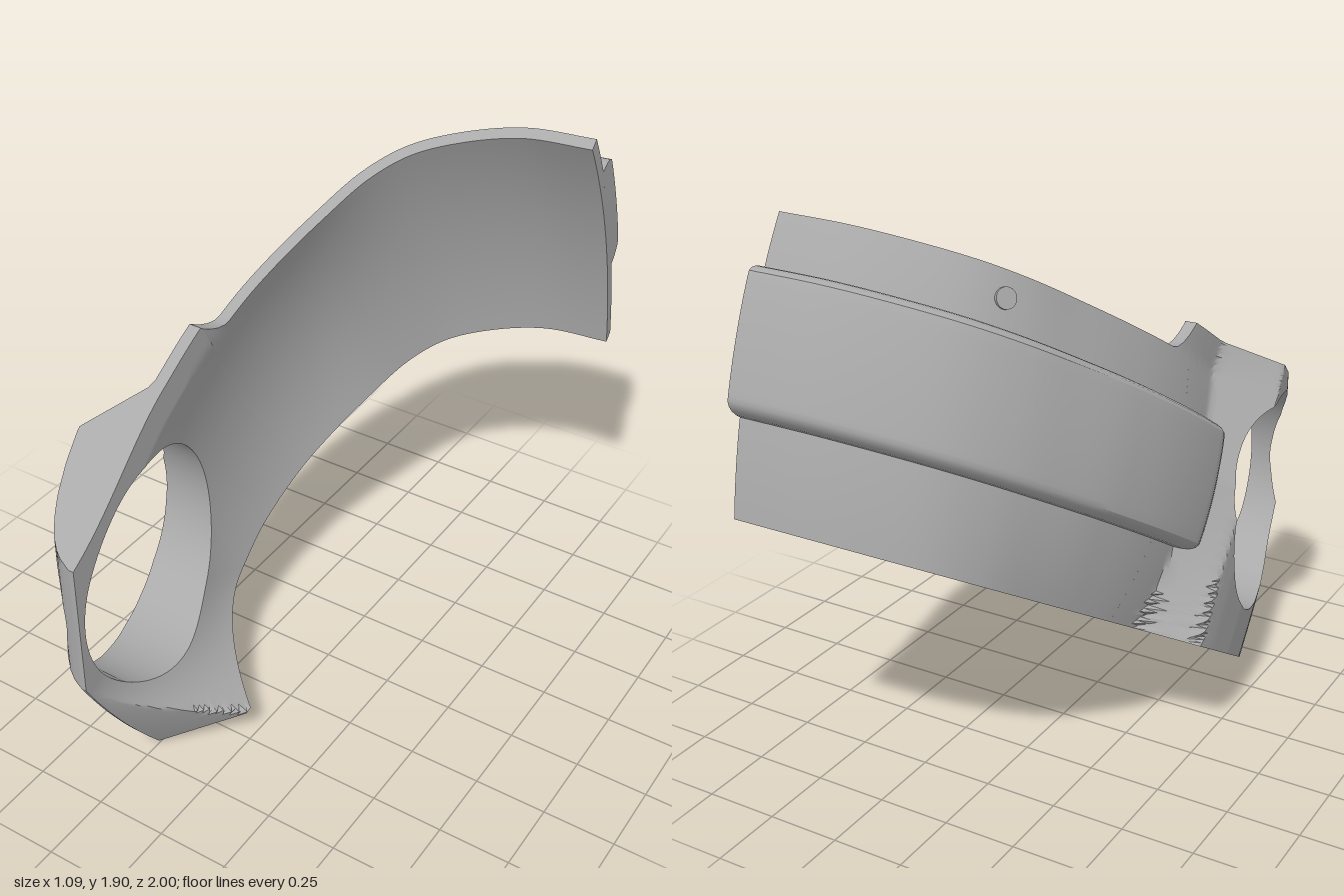
import * as THREE from 'three';
import { toCreasedNormals } from 'three/addons/utils/BufferGeometryUtils.js';

// Tilted working frame: x sideways, u back along the band, v across it.
const SIN = 0.527, COS = 0.85;
const place = (x, u, v) => new THREE.Vector3(x, SIN * u + COS * v, -COS * u + SIN * v);
const smooth = (t) => THREE.MathUtils.smoothstep(t, 0, 1);
const lerp = THREE.MathUtils.lerp;

// Linear lookup in a short list of [position, value] pairs
function ramp(list, t) {
  if (t <= list[0][0]) return list[0][1];
  for (let i = 1; i < list.length; i++) {
    const [a, va] = list[i - 1], [b, vb] = list[i];
    if (t <= b) return lerp(va, vb, (t - a) / (b - a));
  }
  return list[list.length - 1][1];
}

// Plan curve of the outer wall, from straight side to the rear middle
const plan = new THREE.CatmullRomCurve3([
  [-0.35, -1], [-0.35, 0], [-0.35, 0.3], [-0.345, 0.53], [-0.322, 0.715], [-0.28, 0.886],
  [-0.217, 1.076], [-0.14, 1.266], [-0.04, 1.4], [0.11, 1.5], [0.31, 1.577], [0.545, 1.6],
].map(([x, w]) => new THREE.Vector3(x, w, 0)));
const STEPS = 400, table = plan.getPoints(STEPS);
function planAt(w) {
  let i = 1;
  while (i < STEPS && table[i].y < w) i++;
  const f = THREE.MathUtils.clamp((w - table[i - 1].y) / (table[i].y - table[i - 1].y), 0, 1);
  return { x: lerp(table[i - 1].x, table[i].x, f), tan: plan.getTangent((i - 1 + f) / STEPS) };
}

// The lower edge tucks forward; the middle of the side bows outward
const tuck = (v) => -0.247 * Math.max(0, 1.25 - v) ** 2;
function bow(w, v) {
  const t = THREE.MathUtils.clamp((1.25 - v) / 0.895, 0, 1);
  return -0.24 * t * (1 - t) * (1 - smooth((w - 0.9) / 0.6)) * smooth((w + 0.5) / 0.8);
}
function wallPoint(w, v, h) {
  const { x, tan } = planAt(w);
  return place(x + bow(w, v) - tan.y * h, w + tuck(v) + tan.x * h, v);
}

// Solid between two point grids; sections i are joined, optionally into a ring
function slab(outer, inner, ni, nj, ring) {
  const pos = [], idx = [], n = 2 * (nj + 1), rows = ring ? ni : ni + 1;
  for (let i = 0; i < rows; i++) {
    for (let j = 0; j <= nj; j++) pos.push(...outer(i, j).toArray());
    for (let j = nj; j >= 0; j--) pos.push(...inner(i, j).toArray());
  }
  const quad = (a, b, c, d) => idx.push(a, b, c, a, c, d);
  for (let i = 0; i < ni; i++) {
    const r = i * n, q = ((i + 1) % rows) * n;
    for (let j = 0; j < n; j++) {
      const k = (j + 1) % n;
      quad(r + j, q + j, q + k, r + k);
    }
  }
  if (!ring) {
    const e = ni * n;
    for (let j = 0; j < nj; j++) {
      quad(j, j + 1, n - 2 - j, n - 1 - j);
      quad(e + j, e + n - 1 - j, e + n - 2 - j, e + j + 1);
    }
  }
  // Turn all faces outward using the signed volume
  const at = (k) => new THREE.Vector3().fromArray(pos, k * 3);
  let vol = 0;
  for (let k = 0; k < idx.length; k += 3) vol += at(idx[k]).dot(at(idx[k + 1]).cross(at(idx[k + 2])));
  if (vol < 0) idx.reverse();
  const g = new THREE.BufferGeometry();
  g.setAttribute('position', new THREE.Float32BufferAttribute(pos, 3));
  g.setIndex(idx);
  return toCreasedNormals(g, 0.55);
}

const JOIN = 0.53, LOW = 0.355, HIGH = 1.356, END = 1.6;

// Rear band: a thin curved wall with a notch where it leaves the front housing
function bandGeometry() {
  const ni = 80, nj = 24, ease = (i) => 1 - (1 - i / ni) ** 2;
  const point = (h) => (i, j) => {
    const e = ease(i), wTop = lerp(JOIN, END, e);
    const top = 1.246 + 0.11 * Math.max(0, (0.64 - wTop) / 0.11) ** 2;
    const v = lerp(LOW, top, j / nj);
    return wallPoint(lerp(JOIN - tuck(v), END, e), v, h);
  };
  return slab(point(0), point(-0.042), ni, nj, false);
}

// Raised pad along the outside of the band, with rounded edges
function padGeometry() {
  const ni = 80, nj = 24, ease = (i) => 1 - (1 - i / ni) ** 2;
  const round = (t) => Math.sqrt(1 - (1 - Math.min(1, t)) ** 2);
  const point = (raised) => (i, j) => {
    const v = 0.861 - 0.216 * Math.cos(Math.PI * j / nj), e = ease(i);
    const edge = Math.min(v - 0.645, 1.077 - v) / 0.035;
    const h = raised ? 0.075 * round(Math.max(0, edge)) * round(e / 0.05) : -0.012;
    return wallPoint(lerp(0.3 - tuck(v), END, e), v, h);
  };
  return slab(point(true), point(false), ni, nj, false);
}

// Front housing outline and surfaces
const frontEdge = (v) => (v < 0.95
  ? -0.575 - 0.012 * (v - LOW) / 0.595 - 0.06 * (v - LOW) * (0.95 - v) / 0.354
  : lerp(-0.587, -0.33, (v - 0.95) / (HIGH - 0.95)));
const rounding = [[0, -0.275], [0.015, -0.312], [0.035, -0.342], [0.08, -0.385], [0.14, -0.42],
  [0.2, -0.447], [0.3, -0.48], [0.42, -0.507], [0.55, -0.528], [0.75, -0.542]];
function housingOuter(u, v) {
  const w = u - tuck(v), base = planAt(w).x + bow(w, v);
  const crest = ramp([[LOW, 0.28], [0.9, 0.24], [HIGH, 0.09]], v);
  const foot = ramp([[LOW, 0.37], [0.9, 0.38], [HIGH, 0.3]], v);
  const t = THREE.MathUtils.clamp((u - crest) / (foot - crest), 0, 1);
  return lerp(ramp(rounding, Math.min(u, crest) - frontEdge(v)), base, t);
}
function housingInner(u, v) {
  const w = u - tuck(v);
  const wall = planAt(w).x + bow(w, v) * smooth((u + 0.55) / 0.8) + 0.043 + 0.05 * smooth((0.3 - u) / 0.6);
  // Fin reaching inward along the lower edge
  const k = Math.max(0, (0.91 - v) / 0.555) ** 1.7, ridge = -0.575 + 0.225 * k, f = frontEdge(v);
  const shape = u < ridge ? Math.max(0, (u - f) / (ridge - f)) : Math.max(0, 1 - (u - ridge) / 0.43) ** 2;
  return Math.max(wall + 0.26 * k * shape, housingOuter(u, v) + 0.012);
}
function housingGeometry() {
  const cu = -0.121, cv = 0.911, radius = 0.39, nj = 20;
  const corners = [[JOIN, LOW], [JOIN, HIGH], [-0.33, HIGH], [-0.587, 0.95], [-0.575, LOW]];
  const angles = corners.map(([u, v]) => Math.atan2(v - cv, u - cu));
  for (let i = 0; i < 170; i++) angles.push(-Math.PI + (i + 0.37) * 2 * Math.PI / 170);
  angles.sort((a, b) => a - b);
  const inside = (u, v) => u < JOIN && v > LOW && v < HIGH && u > frontEdge(v);
  const reach = angles.map((a) => {
    let lo = radius, hi = 1.5;
    for (let k = 0; k < 30; k++) {
      const m = (lo + hi) / 2;
      if (inside(cu + m * Math.cos(a), cv + m * Math.sin(a))) lo = m; else hi = m;
    }
    return lo;
  });
  const point = (surface) => (i, j) => {
    const r = lerp(radius, reach[i], j / nj);
    const u = cu + r * Math.cos(angles[i]), v = cv + r * Math.sin(angles[i]);
    return place(surface(u, v), u, v);
  };
  return slab(point(housingOuter), point(housingInner), angles.length, nj, true);
}

export function createModel() {
  const group = new THREE.Group();
  group.name = 'halfShell';
  const grey = new THREE.MeshStandardMaterial({ color: 0xaaaaaa });
  grey.name = 'plain grey';
  const add = (name, geometry) => {
    const mesh = new THREE.Mesh(geometry, grey);
    mesh.name = name;
    group.add(mesh);
    return mesh;
  };
  add('rearBand', bandGeometry());
  add('raisedPad', padGeometry());
  add('frontHousing', housingGeometry());

  // Small round button above the pad
  const button = add('button', new THREE.CylinderGeometry(0.033, 0.033, 0.02, 24));
  const base = wallPoint(1.33, 1.165, 0), tip = wallPoint(1.33, 1.165, 0.1);
  button.position.copy(base);
  button.quaternion.setFromUnitVectors(new THREE.Vector3(0, 1, 0), tip.sub(base).normalize());
  return group;
}
